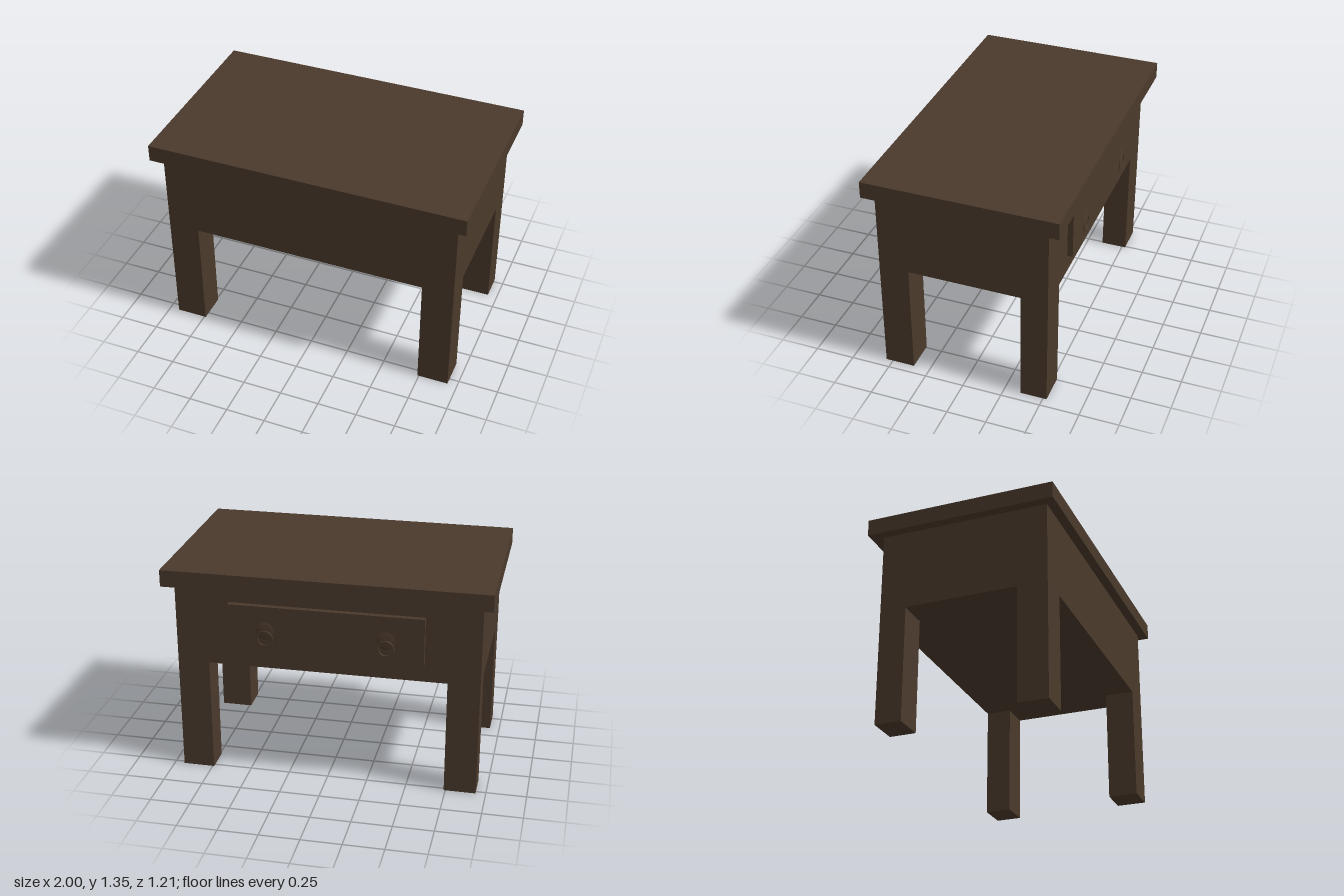
import * as THREE from 'three';

export function createModel() {
  const group = new THREE.Group();
  const wood = new THREE.MeshStandardMaterial({ color: 0x4b3a2c });
  wood.name = 'dark wood';

  const add = (name, geometry, x = 0, y = 0, z = 0) => {
    const mesh = new THREE.Mesh(geometry, wood);
    mesh.name = name;
    mesh.position.set(x, y, z);
    group.add(mesh);
    return mesh;
  };

  // Box given by its limits on each axis
  const box = (name, [x0, x1], [y0, y1], [z0, z1]) =>
    add(name, new THREE.BoxGeometry(x1 - x0, y1 - y0, z1 - z0),
      (x0 + x1) / 2, (y0 + y1) / 2, (z0 + z1) / 2);

  // Overhanging top and solid body
  box('tableTop', [-1, 1], [1.245, 1.35], [-0.603, 0.603]);
  box('body', [-0.938, 0.938], [0.732, 1.245], [-0.523, 0.544]);

  // Four legs, flush with the body corners
  for (const [side, xs] of [['left', [0.74, 0.938]], ['right', [-0.938, -0.74]]]) {
    box(side + 'FrontLeg', xs, [0, 0.732], [0.356, 0.544]);
    box(side + 'BackLeg', xs, [0, 0.732], [-0.523, -0.356]);
  }

  // Drawer panel on the back face
  box('drawerFront', [-0.6, 0.6], [0.845, 1.146], [-0.557, -0.523]);

  // Shallow domed plates with hanging ring pulls
  const domeProfile = [[0.057, 0], [0.05, 0.002], [0.03, 0.005], [0, 0.006]]
    .map(([r, h]) => new THREE.Vector2(r, h));
  for (const x of [-0.37, 0.37]) {
    const plate = add('handlePlate', new THREE.LatheGeometry(domeProfile, 24), x, 0.99, -0.557);
    plate.rotation.x = -Math.PI / 2;

    const ring = add('handleRing', new THREE.TorusGeometry(0.047, 0.0065, 8, 28), x, 0.942, -0.564);
    ring.scale.z = 0.6;
  }

  return group;
}
